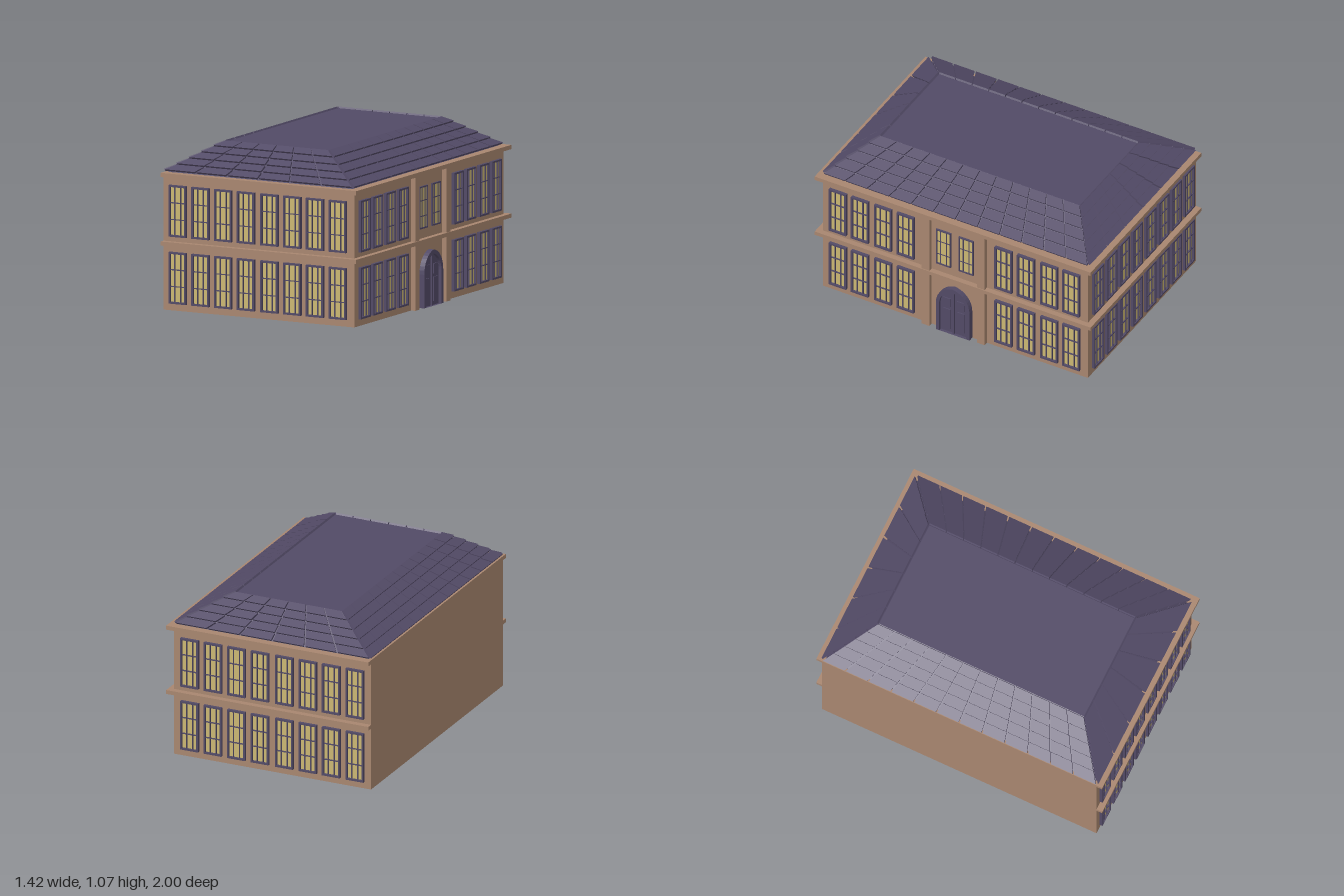
import * as THREE from 'three';
import { mergeGeometries } from 'three/addons/utils/BufferGeometryUtils.js';

const wall = new THREE.MeshStandardMaterial({ color: 0xa8866f });
wall.name = 'tan stone';
const purple = new THREE.MeshStandardMaterial({ color: 0x524a66 });
purple.name = 'slate purple';
const yellow = new THREE.MeshStandardMaterial({ color: 0xcbb772 });
yellow.name = 'warm yellow glass';

// Box given by its limits
function block(x0, x1, y0, y1, z0, z1) {
  return new THREE.BoxGeometry(x1 - x0, y1 - y0, z1 - z0)
    .translate((x0 + x1) / 2, (y0 + y1) / 2, (z0 + z1) / 2);
}

function add(parent, name, geometry, material) {
  const mesh = new THREE.Mesh(geometry, material);
  mesh.name = name;
  parent.add(mesh);
  return mesh;
}

// Window facing +z with its sill at y = 0 and the wall at z = 0
function windowParts(w, h, border, depth, barYs) {
  const shape = new THREE.Shape([
    new THREE.Vector2(-w / 2, 0), new THREE.Vector2(w / 2, 0),
    new THREE.Vector2(w / 2, h), new THREE.Vector2(-w / 2, h)]);
  const a = w / 2 - border;
  shape.holes.push(new THREE.Path([
    new THREE.Vector2(-a, border), new THREE.Vector2(-a, h - border),
    new THREE.Vector2(a, h - border), new THREE.Vector2(a, border)]));
  const frame = [new THREE.ExtrudeGeometry(shape, { depth, bevelEnabled: false }).toNonIndexed?.()
    ?? new THREE.ExtrudeGeometry(shape, { depth, bevelEnabled: false })];
  const bars = [];
  for (const x of [-0.021, 0.021]) bars.push(block(x - 0.003, x + 0.003, border, h - border, 0, depth * 0.75));
  for (const y of barYs) bars.push(block(-a, a, y - 0.003, y + 0.003, 0, depth * 0.72));
  return {
    frame: mergeGeometries(frame),
    bars: mergeGeometries(bars),
    glass: block(-a, a, border, h - border, 0, 0.006),
  };
}

function placeWindow(parent, parts, x, y, z, turn) {
  const g = new THREE.Group();
  g.name = 'window';
  add(g, 'windowFrame', parts.frame, purple);
  add(g, 'windowBars', parts.bars, purple);
  add(g, 'windowGlass', parts.glass, yellow);
  g.position.set(x, y, z);
  g.rotation.y = turn;
  parent.add(g);
}

// Pointed arch outline
function archPoints(w, spring, top) {
  const s = new THREE.Shape();
  s.moveTo(-w, 0);
  s.lineTo(w, 0);
  s.lineTo(w, spring);
  s.bezierCurveTo(w, spring + (top - spring) * 0.5, w * 0.6, top - 0.012, 0, top);
  s.bezierCurveTo(-w * 0.6, top - 0.012, -w, spring + (top - spring) * 0.5, -w, spring);
  return s;
}

function createDoor() {
  const door = new THREE.Group();
  door.name = 'door';
  const surround = archPoints(0.122, 0.215, 0.36);
  surround.holes.push(new THREE.Path(archPoints(0.098, 0.215, 0.333).getPoints(8)));
  add(door, 'doorSurround',
    new THREE.ExtrudeGeometry(surround, { depth: 0.036, bevelEnabled: false, curveSegments: 8 }), purple);
  add(door, 'doorLeaves',
    new THREE.ExtrudeGeometry(archPoints(0.1, 0.215, 0.335), { depth: 0.016, bevelEnabled: false, curveSegments: 8 }), purple);
  // Raised panels and the centre strip
  const panels = [block(-0.005, 0.005, 0, 0.325, 0.016, 0.027)];
  for (const s of [-1, 1]) {
    const c = s * 0.05;
    panels.push(block(c - 0.027, c + 0.027, 0.025, 0.18, 0.016, 0.023));
    panels.push(block(c - 0.027, c + 0.027, 0.2, 0.265, 0.016, 0.023));
  }
  add(door, 'doorPanels', mergeGeometries(panels), purple);
  door.position.set(0.67, 0, 0);
  door.rotation.y = Math.PI / 2;
  return door;
}

// One roof slope covered with rows of overlapping tiles
function tiledSlope(b0, b1, t0, t1, cols, rows) {
  const at = (u, v) => b0.clone().lerp(b1, u).lerp(t0.clone().lerp(t1, u), v);
  const normal = b1.clone().sub(b0).cross(t0.clone().sub(b0)).normalize();
  const tiles = [];
  for (let r = 0; r < rows; r++) {
    for (let c = 0; c < cols; c++) {
      const g = new THREE.BoxGeometry(1, 1, 1);
      const p = g.attributes.position;
      for (let i = 0; i < p.count; i++) {
        const u = (c + 0.5 + p.getX(i) * 0.94) / cols;
        const v = (r + 0.5 + p.getY(i) * 0.95) / rows;
        // The lower edge is lifted over the row beneath
        const lift = (p.getZ(i) > 0 ? 0.009 : -0.004) + (p.getY(i) < 0 ? 0.009 : 0);
        const q = at(u, v).addScaledVector(normal, lift);
        p.setXYZ(i, q.x, q.y, q.z);
      }
      g.computeVertexNormals();
      tiles.push(g);
    }
  }
  return mergeGeometries(tiles);
}

function createRoof() {
  const roof = new THREE.Group();
  roof.name = 'roof';
  const cx = -0.02;
  // Truncated hip core with the flat top
  const core = new THREE.BoxGeometry(2, 1, 2);
  const p = core.attributes.position;
  for (let i = 0; i < p.count; i++) {
    const top = p.getY(i) > 0;
    p.setXYZ(i, cx + p.getX(i) * (top ? 0.366 : 0.672), top ? 1.066 : 0.876, p.getZ(i) * (top ? 0.716 : 0.95));
  }
  core.computeVertexNormals();
  add(roof, 'roofCore', core, purple);

  const low = (sx, sz) => new THREE.Vector3(cx + sx * 0.683, 0.884, sz * 0.96);
  const high = (sx, sz) => new THREE.Vector3(cx + sx * 0.37, 1.068, sz * 0.722);
  const corners = [[-1, 1], [1, 1], [1, -1], [-1, -1]];
  const names = ['frontTiles', 'leftTiles', 'backTiles', 'rightTiles'];
  corners.forEach((a, i) => {
    const b = corners[(i + 1) % 4];
    add(roof, names[i], tiledSlope(low(...a), low(...b), high(...a), high(...b), i % 2 ? 12 : 6, 5), purple);
  });
  return roof;
}

export function createModel() {
  const model = new THREE.Group();
  model.name = 'house';

  // Walls, cornices and pilasters
  add(model, 'walls', block(-0.708, 0.67, 0, 0.86, -0.96, 0.96), wall);
  add(model, 'middleBand', block(-0.708, 0.706, 0.415, 0.441, -1, 1), wall);
  add(model, 'cornice', block(-0.708, 0.706, 0.853, 0.88, -1, 1), wall);
  for (const s of [-1, 1]) {
    const z = s * 0.2;
    add(model, 'pilaster', block(0.66, 0.7, 0, 0.855, z - 0.028, z + 0.028), wall);
  }

  // Two rows of windows on the front, back and entrance side
  const tall = windowParts(0.125, 0.33, 0.012, 0.02, [0.11, 0.217]);
  const small = windowParts(0.106, 0.272, 0.009, 0.012, [0.08, 0.18]);
  const sills = [0.045, 0.473];
  for (const y of sills) {
    for (const x of [-0.6, -0.435, -0.271, -0.107, 0.063, 0.228, 0.392, 0.556]) {
      placeWindow(model, tall, x, y, 0.96, 0);
      placeWindow(model, tall, x, y, -0.96, Math.PI);
    }
    for (const z of [0.355, 0.518, 0.685, 0.845]) {
      for (const s of [-1, 1]) placeWindow(model, tall, 0.67, y, s * z, Math.PI / 2);
    }
  }
  for (const s of [-1, 1]) placeWindow(model, small, 0.67, 0.504, s * 0.082, Math.PI / 2);

  model.add(createDoor(), createRoof());
  return model;
}
